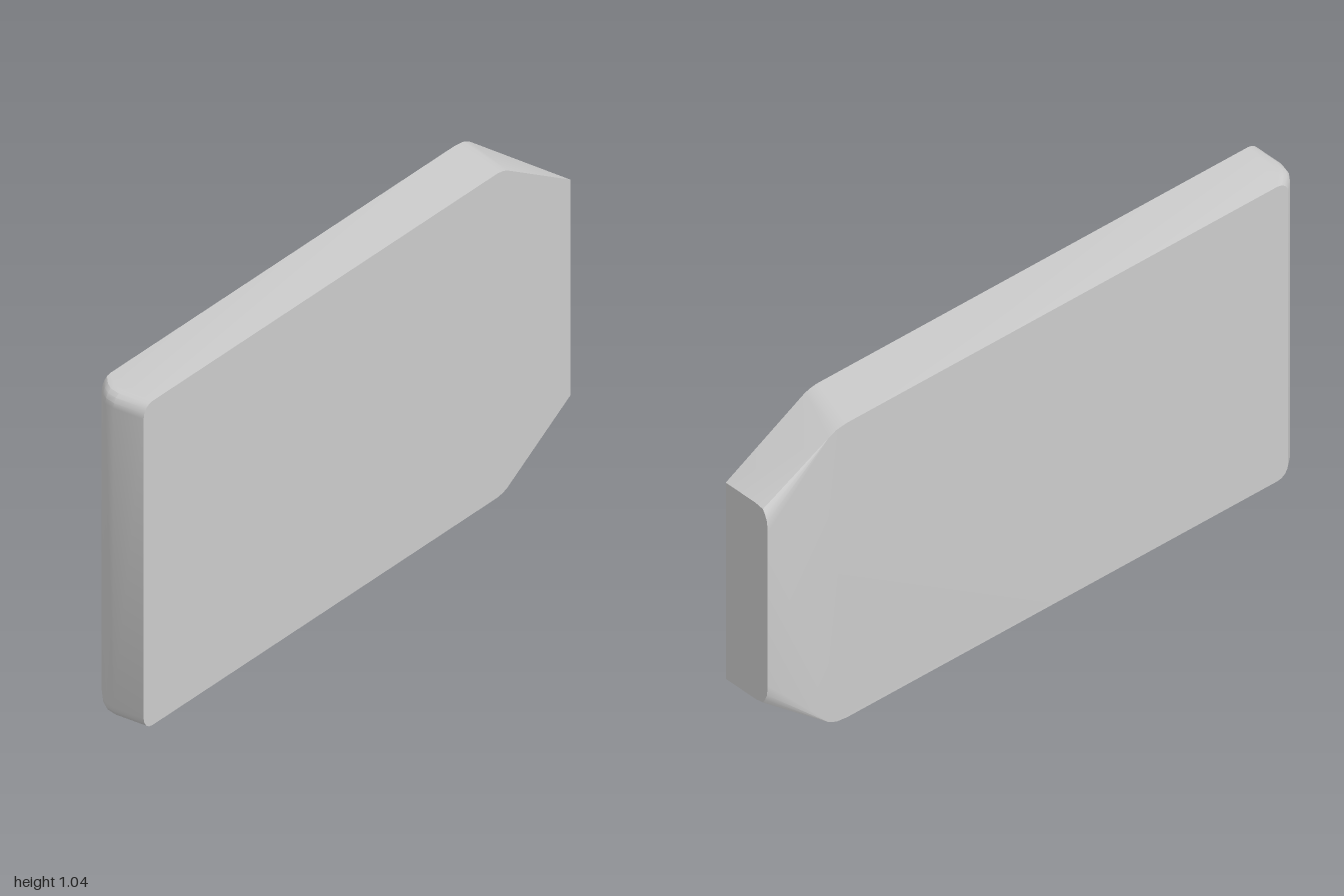
import * as THREE from 'three';
import { ConvexGeometry } from 'three/addons/geometries/ConvexGeometry.js';
import { toCreasedNormals } from 'three/addons/utils/BufferGeometryUtils.js';

const HALF = 0.518; // half height
const FRONT = 0.095, BACK = -0.095;

export function createModel() {
  const points = [];
  // each corner is mirrored about the horizontal mid-line
  const add = (x, h, z) => {
    for (const s of [1, -1]) points.push(new THREE.Vector3(x, HALF + s * h, z));
  };

  // left end: rounded corners, with the end curving in towards the back
  const leftEnd = [[-1, FRONT], [-1, -0.01], [-0.99, -0.045], [-0.972, -0.068], [-0.94, BACK]];
  const r = 0.04;
  for (const [x, z] of leftEnd) {
    for (let i = 0; i <= 4; i++) {
      const a = (i / 4) * Math.PI / 2;
      add(x + r * (1 - Math.cos(a)), HALF - r * (1 - Math.sin(a)), z);
    }
  }

  // right shoulders: the taper starts earlier on the front than on the back
  const shoulder = [[0, HALF], [0.025, HALF - 0.004], [0.045, HALF - 0.011]];
  for (const [dx, h] of shoulder) add(0.66 + dx, h, FRONT);
  for (const [dx, h] of [[0, HALF], [0.04, HALF - 0.005], [0.07, HALF - 0.018]]) add(0.715 + dx, h, BACK);

  // right end: flat narrow face with rounded back corners
  const rightEnd = [[0.345, FRONT], [0.345, -0.03], [0.34, -0.06], [0.325, -0.069], [0.305, -0.077], [0.27, -0.08]];
  for (const [h, z] of rightEnd) add(1, h, z);

  const slab = new THREE.Mesh(
    toCreasedNormals(new ConvexGeometry(points), 0.4),
    new THREE.MeshStandardMaterial({ color: 0xcccccc })
  );
  slab.name = 'taperedSlab';

  const group = new THREE.Group();
  group.name = 'slab';
  group.add(slab);
  return group;
}
